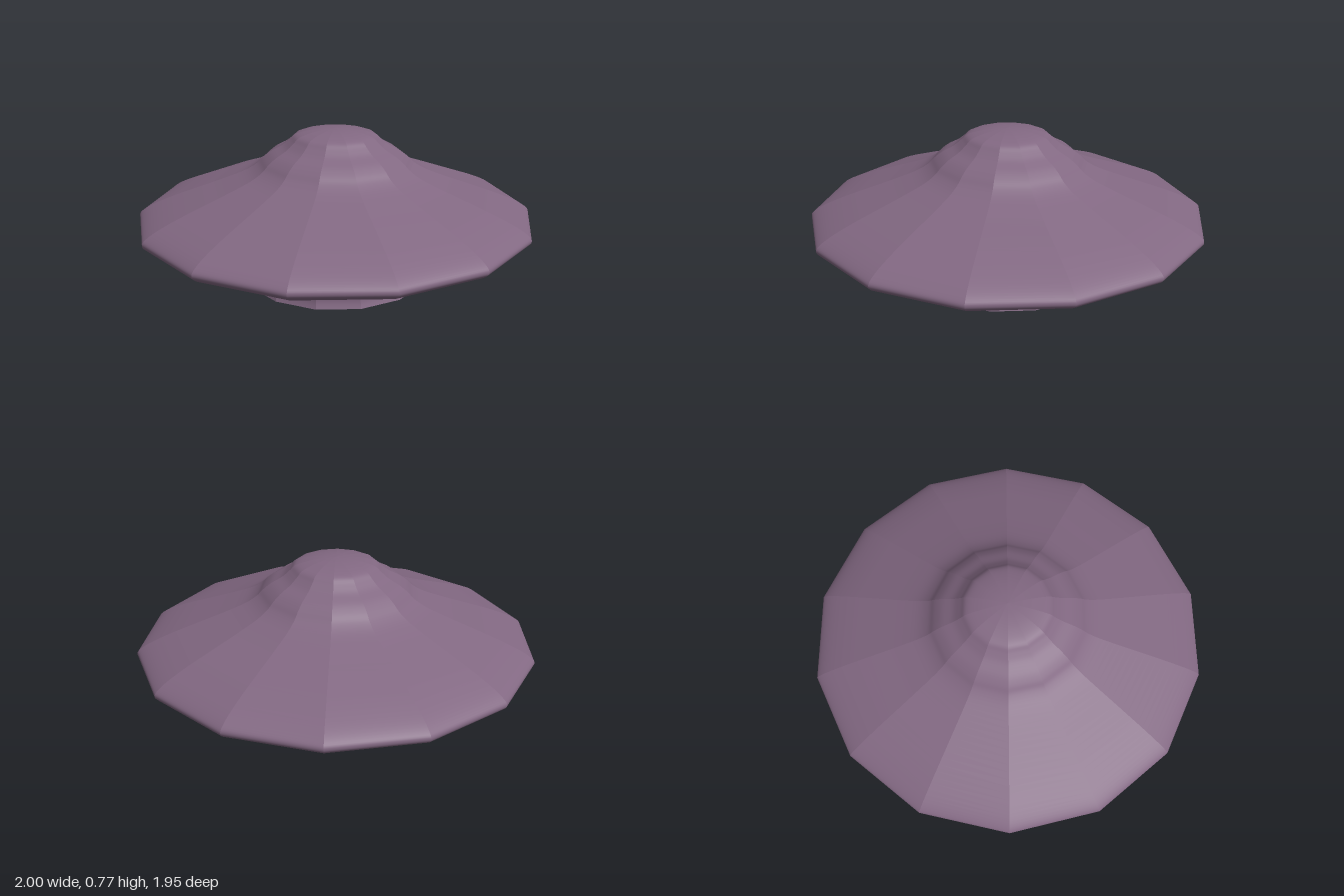
import * as THREE from 'three';
import { mergeGeometries } from 'three/addons/utils/BufferGeometryUtils.js';

const SIDES = 14;
const STEP = (Math.PI * 2) / SIDES;

// One sector at a time, so the hull is smooth up the profile but faceted around it
function facetedLathe(points) {
  const panels = [];
  for (let i = 0; i < SIDES; i++) {
    const panel = new THREE.LatheGeometry(points, 1, Math.PI / 2 + i * STEP, STEP);
    panel.computeVertexNormals();
    panels.push(panel);
  }
  return mergeGeometries(panels);
}

export function createModel() {
  const group = new THREE.Group();
  group.name = 'saucer';
  const mauve = new THREE.MeshStandardMaterial({ color: 0x826882 });
  mauve.name = 'mauve';

  // Profile (radius, height): foot, underside, rim, upper deck, dome
  const profile = new THREE.SplineCurve([
    [0.48, 0], [0.472, 0.03], [0.472, 0.06], [0.488, 0.098], [0.53, 0.132],
    [0.61, 0.165], [0.72, 0.198], [0.84, 0.232], [0.93, 0.263], [0.985, 0.294],
    [1, 0.318], [0.985, 0.342], [0.93, 0.375], [0.83, 0.417], [0.7, 0.463],
    [0.57, 0.508], [0.46, 0.55], [0.4, 0.585], [0.365, 0.618], [0.325, 0.648],
    [0.27, 0.678], [0.232, 0.708], [0.2, 0.735], [0.14, 0.752], [0.07, 0.762], [0, 0.766],
  ].map(([r, y]) => new THREE.Vector2(r, y)));
  const points = profile.getPoints(100);
  points[points.length - 1].x = 0;

  const hull = new THREE.Mesh(facetedLathe(points), mauve);
  hull.name = 'hull';
  group.add(hull);

  // Flat underside closing the foot
  const base = new THREE.Mesh(new THREE.CircleGeometry(0.48, SIDES).rotateX(Math.PI / 2), mauve);
  base.name = 'base';
  group.add(base);

  return group;
}
